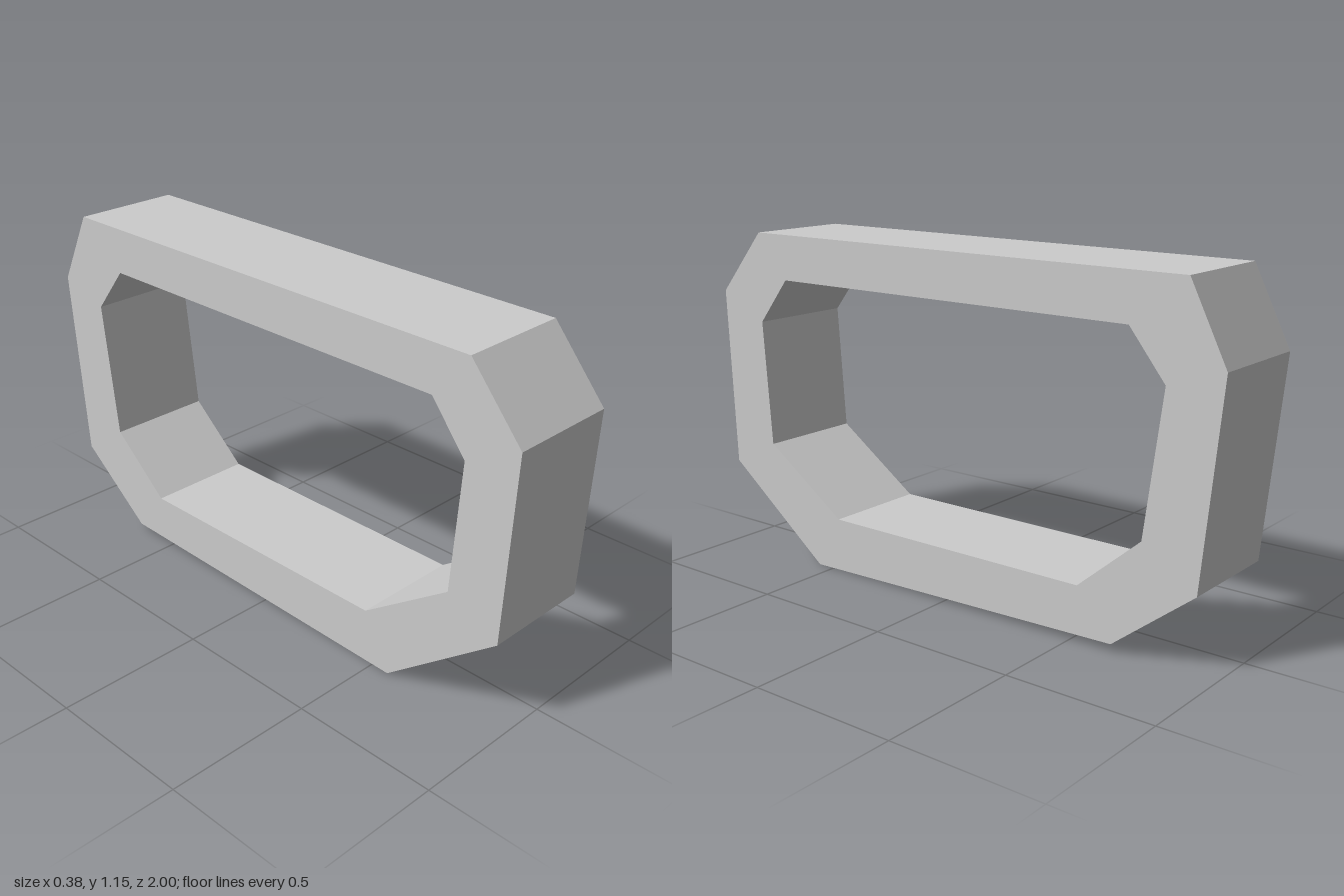
import * as THREE from 'three';

const WIDTH = 0.375;

// Side profiles as [z, y] corners: outline anticlockwise, opening clockwise
const OUTER = [
  [0.97, 0.312], [1, 0.937], [0.815, 1.155], [-0.875, 1.155],
  [-1, 0.905], [-0.937, 0.25], [-0.655, 0.03], [0.565, 0],
];
const INNER = [
  [0.467, 0.187], [-0.53, 0.187], [-0.75, 0.375], [-0.812, 0.843],
  [-0.687, 1], [0.69, 1], [0.815, 0.843], [0.783, 0.405],
];

const toPoints = (corners) => corners.map(([z, y]) => new THREE.Vector2(z, y));

export function createModel() {
  const group = new THREE.Group();
  group.name = 'angularRing';

  const grey = new THREE.MeshStandardMaterial({ color: 0xcccccc });
  grey.name = 'light grey';

  // Eight-sided frame with an eight-sided opening, extruded across x
  const shape = new THREE.Shape(toPoints(OUTER));
  shape.holes.push(new THREE.Path(toPoints(INNER)));
  const geometry = new THREE.ExtrudeGeometry(shape, { depth: WIDTH, bevelEnabled: false });
  geometry.translate(0, 0, -WIDTH / 2);
  geometry.rotateY(-Math.PI / 2);

  const frame = new THREE.Mesh(geometry, grey);
  frame.name = 'frame';
  group.add(frame);
  return group;
}
